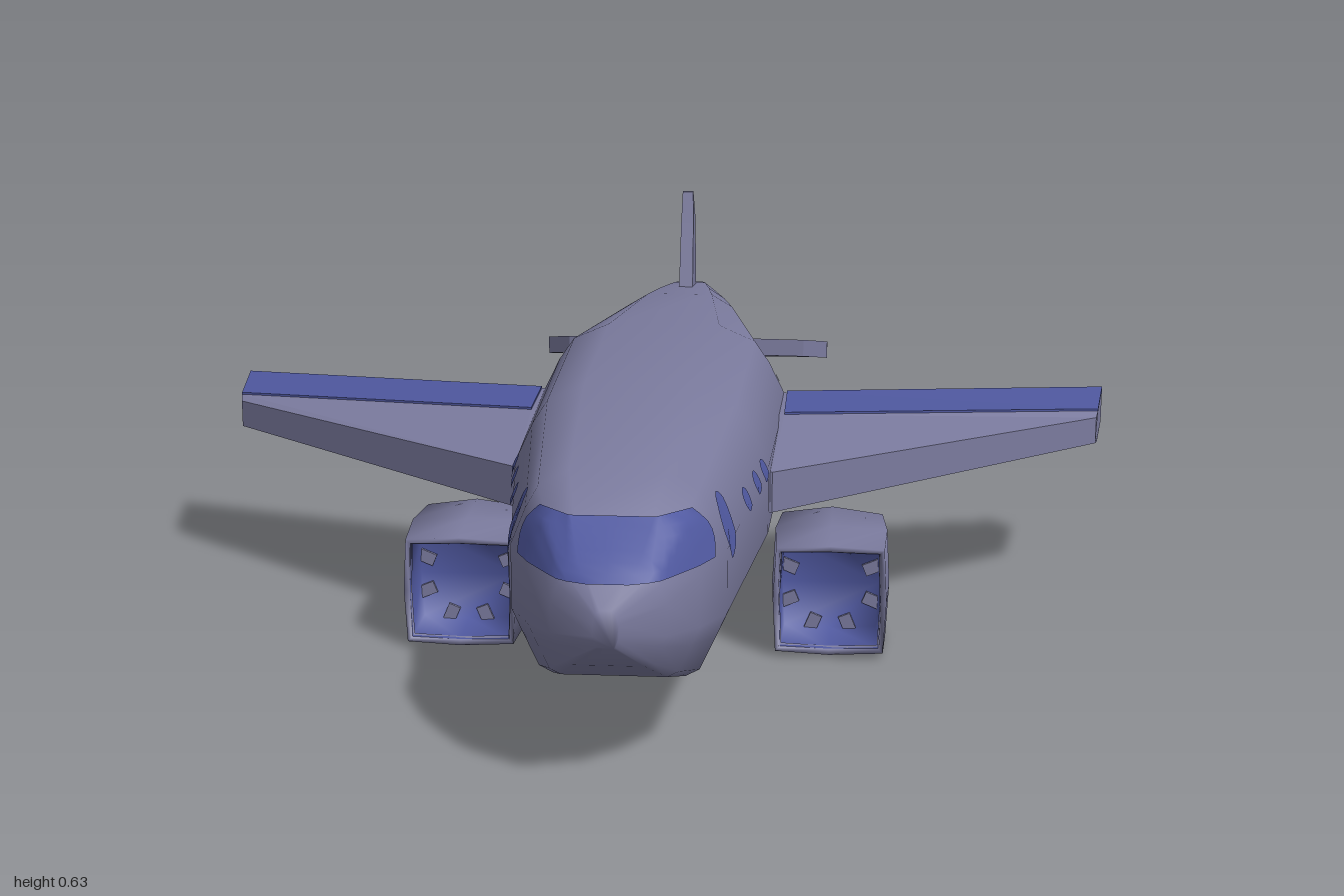
import * as THREE from 'three';

// Fuselage stations: z, half width, bottom, top
const STATIONS = [
  [1.0, 0.02, 0.25, 0.31], [0.95, 0.09, 0.205, 0.365], [0.87, 0.135, 0.16, 0.425],
  [0.78, 0.172, 0.13, 0.468], [0.35, 0.22, 0.12, 0.5], [-0.17, 0.233, 0.12, 0.49],
  [-0.6, 0.145, 0.14, 0.458], [-0.75, 0.112, 0.17, 0.44], [-0.9, 0.075, 0.2, 0.42],
  [-0.95, 0.055, 0.215, 0.412], [-0.985, 0.03, 0.25, 0.385], [-1.0, 0.01, 0.285, 0.345],
];
// Right half of the unit cross-section, bottom to top
const HALF = [[0.62, -1], [0.75, -0.93], [0.9, -0.6], [1, -0.37], [1, 0.26], [0.86, 0.62], [0.74, 0.84], [0.45, 1]];

const geometryFrom = (positions, index, flat) => {
  let g = new THREE.BufferGeometry();
  g.setAttribute('position', new THREE.Float32BufferAttribute(positions.flat(), 3));
  g.setIndex(index);
  if (flat) g = g.toNonIndexed();
  g.computeVertexNormals();
  return g;
};

// Skin over closed rings, with optional end caps
function loft(rings, { flat = false, front = true, back = true } = {}) {
  const n = rings[0].length, last = (rings.length - 1) * n, index = [];
  for (let i = 0; i < rings.length - 1; i++) {
    for (let j = 0; j < n; j++) {
      const a = i * n + j, b = i * n + (j + 1) % n, c = a + n, d = b + n;
      index.push(a, c, b, b, c, d);
    }
  }
  for (let j = 1; j < n - 1; j++) {
    if (front) index.push(0, j, j + 1);
    if (back) index.push(last, last + j + 1, last + j);
  }
  return geometryFrom(rings.flat(), index, flat);
}

const mirrorRings = (rings, s) => s > 0 ? rings
  : rings.map((r) => r.map(([x, y, z]) => [-x, y, z]).reverse());

// Half width of the fuselage skin at a given z and y
function skinX(z, y) {
  let i = 0;
  while (i < STATIONS.length - 2 && STATIONS[i + 1][0] > z) i++;
  const A = STATIONS[i], B = STATIONS[i + 1], t = (z - A[0]) / (B[0] - A[0]);
  const [, w, lo, hi] = A.map((v, k) => v + (B[k] - v) * t);
  const v = THREE.MathUtils.clamp((2 * y - lo - hi) / (hi - lo), -1, 1);
  let k = 0;
  while (k < HALF.length - 2 && HALF[k + 1][1] < v) k++;
  const [p, q] = [HALF[k], HALF[k + 1]];
  return w * (p[0] + (q[0] - p[0]) * (v - p[1]) / (q[1] - p[1]));
}

// Where the nose crown reaches height y
function noseZ(y) {
  let i = 0;
  while (STATIONS[i + 1][3] < y) i++;
  const A = STATIONS[i], B = STATIONS[i + 1];
  return A[0] + (B[0] - A[0]) * (y - A[3]) / (B[3] - A[3]);
}

// Oval painted onto the fuselage side
function ovalPatch(s, z, y, rz, ry, tilt = 0) {
  const n = 16, pts = [], index = [];
  const add = (dz, dy) => pts.push([s * (skinX(z + dz, y + dy) + 0.005), y + dy, z + dz]);
  add(0, 0);
  for (let j = 0; j < n; j++) {
    const a = j / n * Math.PI * 2, dy = Math.sin(a) * ry;
    add(Math.cos(a) * rz + dy * tilt, dy);
    index.push(0, j + 1, (j + 1) % n + 1);
  }
  return geometryFrom(pts, index);
}

// Windshield band wrapping round the nose
function windshieldGeometry() {
  const rows = 6, cols = 14, pts = [], index = [], width = 2 * cols + 1;
  for (let r = 0; r <= rows; r++) {
    const f = r / rows, y = 0.342 + 0.08 * f, z0 = noseZ(y);
    const rear = 0.825 - 0.02 * Math.sin(f * Math.PI);
    for (let c = -cols; c <= cols; c++) {
      const t = Math.max(0, (Math.abs(c) - 1) / (cols - 1));
      const z = z0 + (rear - z0) * t;
      const x = c === 0 ? 0 : Math.sign(c) * (skinX(z - 0.0001, y) + 0.005);
      pts.push([x, y + 0.002, z + 0.006 * (1 - t)]);
      if (r < rows && c < cols) {
        const a = r * width + c + cols;
        index.push(a, a + 1, a + width, a + 1, a + width + 1, a + width);
      }
    }
  }
  return geometryFrom(pts, index);
}

export function createModel() {
  const body = new THREE.MeshStandardMaterial({ color: 0x7b7b9e });
  const blue = new THREE.MeshStandardMaterial({ color: 0x4f589f, side: THREE.DoubleSide });
  body.name = 'greyPaint';
  blue.name = 'bluePaint';
  const model = new THREE.Group();
  model.name = 'airplane';
  const add = (name, geometry, material, parent = model) => {
    const m = new THREE.Mesh(geometry, material);
    m.name = name;
    parent.add(m);
    return m;
  };

  // Fuselage
  const outline = [...HALF, ...HALF.map(([u, v]) => [-u, v]).reverse()];
  add('fuselage', loft(STATIONS.map(([z, w, lo, hi]) =>
    outline.map(([u, v]) => [u * w, (lo + hi) / 2 + v * (hi - lo) / 2, z]))), body);
  add('windshield', windshieldGeometry(), blue);

  // Wing rings: root and tip, leading edge - ridge - trailing edge
  const wing = [
    [[0.31, 0.265, 0.338], [0, 0.24, 0.362], [-0.165, 0.25, 0.362]],
    [[-0.165, 0.275, 0.325], [-0.19, 0.272, 0.332], [-0.355, 0.27, 0.335]],
  ];
  const wingX = [[0.225, 0.235, 0.235], [0.82, 0.825, 0.845]];
  const wingRings = wing.map((p, i) => {
    const at = (k, h) => [wingX[i][k], p[k][h], p[k][0]];
    return [at(0, 1), at(0, 2), at(1, 2), at(2, 2), at(2, 1), at(1, 1)];
  });
  // Carry the root into the fuselage
  wingRings.unshift(wingRings[0].map(([, y, z]) => [0.12, y, z]));
  const flapRings = wingRings.slice(1).map((r) => {
    const [a, b] = [r[2], r[3]], lift = ([x, y, z], d) => [x, y + d, z];
    return [lift(a, -0.002), lift(a, 0.004), lift(b, 0.004), lift(b, -0.002)];
  });

  // Tailplane rings: x, leading z, trailing z
  const tailRings = [[0.04, -0.742, -0.865], [0.25, -0.785, -0.853], [0.3, -0.835, -0.845]]
    .map(([x, a, b]) => {
      const mid = (z) => 0.315 + (z + 0.75) * 0.28;
      return [[x, mid(a) - 0.018, a], [x, mid(a) + 0.018, a], [x, mid(b) + 0.016, b], [x, mid(b) - 0.016, b]];
    });

  // Engine ring: rounded square
  const ring = (z, r, corner) => Array.from({ length: 8 }, (_, j) => {
    const a = j * Math.PI / 4, k = j % 2 ? corner * Math.SQRT2 : 1;
    return [Math.cos(a) * r * k, Math.sin(a) * r * k, z];
  });

  for (const s of [1, -1]) {
    const side = s > 0 ? 'left' : 'right';
    add(side + 'Wing', loft(mirrorRings(wingRings, s), { flat: true }), body);
    add(side + 'WingFlap', loft(mirrorRings(flapRings, s), { flat: true }), blue);
    add(side + 'Tailplane', loft(mirrorRings(tailRings, s), { flat: true }), body);

    // Door and cabin windows
    add(side + 'Door', ovalPatch(s, 0.74, 0.372, 0.034, 0.05, -0.3), blue);
    for (const z of [0.575, 0.475, 0.4]) add(side + 'Window', ovalPatch(s, z, 0.366, 0.021, 0.02), blue);
    for (const z of [-0.23, -0.31, -0.39, -0.46]) add(side + 'RearWindow', ovalPatch(s, z, 0.375, 0.01, 0.007), blue);

    // Engine with open intake
    const engine = new THREE.Group();
    engine.name = side + 'Engine';
    engine.position.set(s * 0.328, 0.105, 0);
    model.add(engine);
    add('engineShell', loft([
      ring(0.295, 0.088, 0.96), ring(0.31, 0.09, 0.98), ring(0.31, 0.1, 0.95), ring(0.2, 0.105, 0.95),
      ring(0.075, 0.104, 0.88), ring(0.055, 0.055, 0.8),
    ], { front: false }), body, engine);
    add('engineIntake', loft([ring(0.308, 0.089, 0.97), ring(0.2, 0.086, 0.95)], { front: false }), blue, engine);
    // Vanes around the intake wall
    for (let j = 0; j < 8; j++) {
      const a = (j + 0.5) * Math.PI / 4;
      const vane = add('intakeVane', new THREE.BoxGeometry(0.03, 0.022, 0.006), body, engine);
      vane.position.set(Math.cos(a) * 0.08, Math.sin(a) * 0.08, 0.206);
      vane.rotation.z = a;
    }
  }

  // Tail fin
  add('tailFin', loft([[0.38, -0.755, -0.885, 0.015], [0.565, -0.813, -0.882, 0.013], [0.63, -0.832, -0.842, 0.011]]
    .map(([y, a, b, w]) => [[w, y, b], [w, y, a], [-w, y, a], [-w, y, b]]), { flat: true }), body);

  return model;
}
